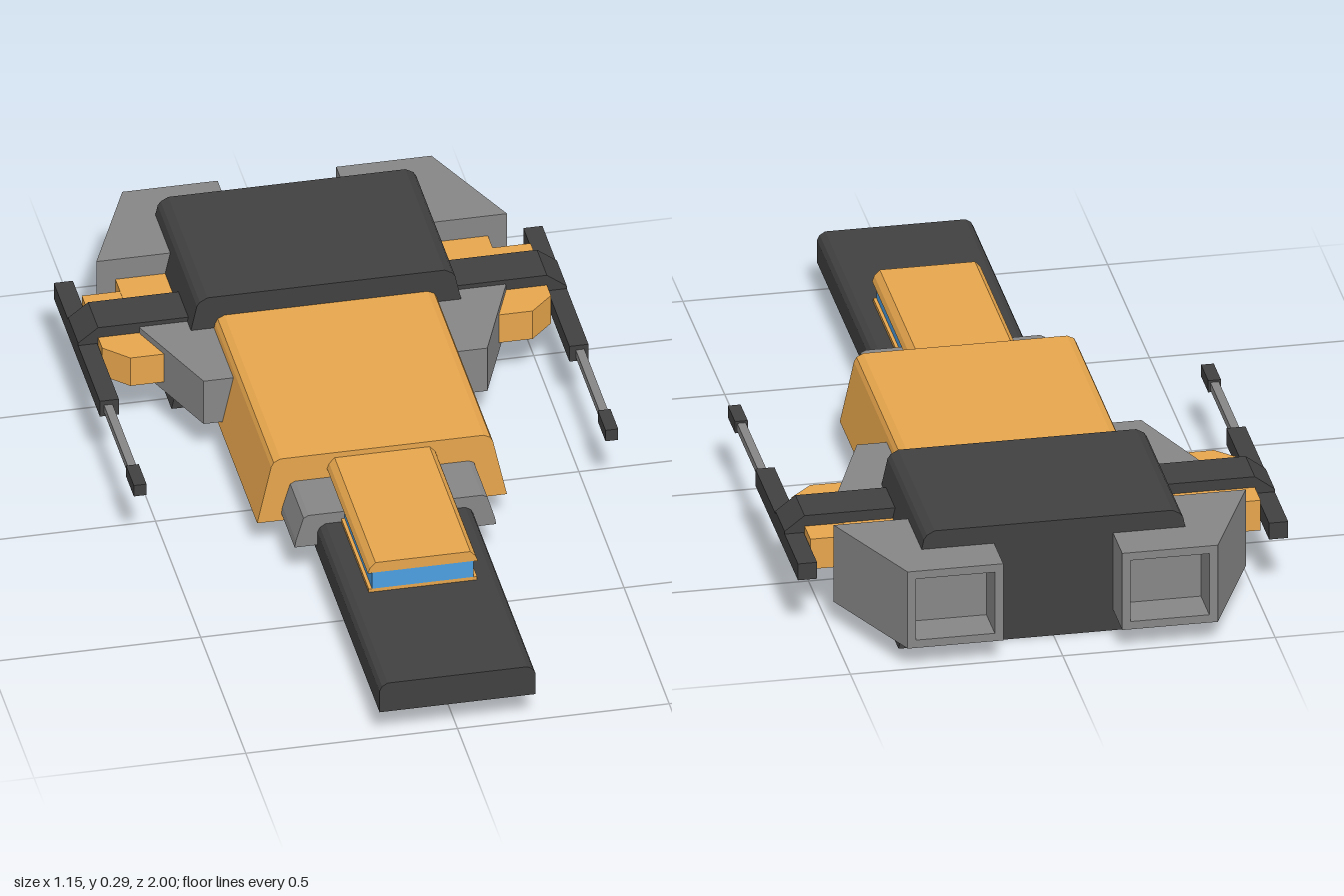
import * as THREE from 'three';

const material = (color) => new THREE.MeshStandardMaterial({ color, flatShading: true });

export function createModel() {
  const model = new THREE.Group();
  const dark = material(0x404040);
  const grey = material(0x868686);
  const orange = material(0xe6a54c);
  const blue = material(0x4c9ee0);

  function add(name, geometry, mat) {
    const mesh = new THREE.Mesh(geometry, mat);
    mesh.name = name;
    model.add(mesh);
    return mesh;
  }

  const shapeOf = (points) => new THREE.Shape(points.map(([x, y]) => new THREE.Vector2(x, y)));

  // Symmetric front profile (half given, bottom to top), extruded from z0 to z1
  function hull(name, half, z0, z1, mat) {
    const mirrored = half.map(([x, y]) => [-x, y]).reverse();
    const geometry = new THREE.ExtrudeGeometry(shapeOf([...half, ...mirrored]), { depth: z1 - z0, bevelEnabled: false });
    add(name, geometry.translate(0, 0, z0), mat);
  }

  // Plan outline in (x, z), extruded from y0 to y1 on side s
  function plan(name, outline, y0, y1, s, mat) {
    const geometry = new THREE.ExtrudeGeometry(shapeOf(outline.map(([x, z]) => [s * x, -z])), { depth: y1 - y0, bevelEnabled: false });
    add(name, geometry.rotateX(-Math.PI / 2).translate(0, y0, 0), mat);
  }

  function box(name, x0, x1, y0, y1, z0, z1, s, mat) {
    const geometry = new THREE.BoxGeometry(x1 - x0, y1 - y0, z1 - z0);
    geometry.translate(s * (x0 + x1) / 2, (y0 + y1) / 2, (z0 + z1) / 2);
    add(name, geometry, mat);
  }

  // Rectangular rings [x0, x1, y0, y1, z] joined in order, capped at both ends
  function rings(name, list, s, mat) {
    const corners = list.map(([x0, x1, y0, y1, z]) =>
      [[x0, y0, z], [x1, y0, z], [x1, y1, z], [x0, y1, z]].map(([x, y, w]) => [s * x, y, w]));
    const position = [];
    const quad = (a, b, c, d) => {
      const order = s > 0 ? [a, b, c, a, c, d] : [a, c, b, a, d, c];
      order.forEach((p) => position.push(...p));
    };
    const first = corners[0];
    const last = corners[corners.length - 1];
    quad(first[0], first[1], first[2], first[3]);
    quad(last[3], last[2], last[1], last[0]);
    for (let i = 0; i < corners.length - 1; i++) {
      for (let k = 0; k < 4; k++) {
        const n = (k + 1) % 4;
        quad(corners[i][k], corners[i + 1][k], corners[i + 1][n], corners[i][n]);
      }
    }
    const geometry = new THREE.BufferGeometry();
    geometry.setAttribute('position', new THREE.Float32BufferAttribute(position, 3));
    geometry.computeVertexNormals();
    add(name, geometry, mat);
  }

  // Central hull, from tail to nose
  hull('engineBlock', [[0.365, 0], [0.305, 0.275], [0.298, 0.285], [0.28, 0.295]], -0.89, -0.455, dark);
  hull('mainBody', [[0.295, 0.072], [0.262, 0.222], [0.256, 0.234], [0.24, 0.242]], -0.5, 0.165, orange);
  hull('neckCollar', [[0.238, 0.092], [0.235, 0.11], [0.217, 0.17], [0.205, 0.176]], 0.1, 0.313, grey);
  hull('nose', [[0.184, 0.07], [0.184, 0.128], [0.178, 0.14], [0.165, 0.148]], 0.1, 1, dark);

  // Cockpit: sill, glazing and roof
  hull('cockpitSill', [[0.128, 0.145], [0.128, 0.157]], 0.1, 0.617, orange);
  hull('cockpitWindow', [[0.12, 0.157], [0.12, 0.201]], 0.1, 0.617, blue);
  hull('cockpitRoof', [[0.13, 0.2], [0.125, 0.214], [0.112, 0.228]], 0.1, 0.617, orange);

  for (const s of [1, -1]) {
    // Tapered shoulder in front of the wing
    plan('shoulder', [[0.2, -0.24], [0.335, -0.24], [0.432, -0.49], [0.432, -0.51], [0.2, -0.51]], 0.092, 0.21, s, grey);

    // Hollow thruster, narrowing to the rear
    rings('thruster', [
      [0.14, 0.485, 0.053, 0.25, -0.725],
      [0.14, 0.365, 0.053, 0.25, -1],
      [0.16, 0.345, 0.073, 0.23, -1],
      [0.16, 0.345, 0.073, 0.23, -0.9],
    ], s, grey);

    // Stub wing: inner root, outer pod and top strut
    box('wingRoot', 0.25, 0.44, 0.115, 0.195, -0.725, -0.5, s, orange);
    plan('wingPod', [[0.39, -0.395], [0.475, -0.395], [0.53, -0.45], [0.53, -0.675], [0.39, -0.675]], 0.117, 0.194, s, orange);
    const strut = shapeOf([[0.28, 0.188], [0.53, 0.188], [0.53, 0.17], [0.577, 0.17], [0.577, 0.185], [0.53, 0.221], [0.28, 0.221]].map(([x, y]) => [s * x, y]));
    add('wingStrut', new THREE.ExtrudeGeometry(strut, { depth: 0.11, bevelEnabled: false }).translate(0, 0, -0.605), dark);

    // Wingtip gun: rail, barrel and muzzle
    box('gunRail', 0.532, 0.577, 0.136, 0.178, -0.765, -0.255, s, dark);
    box('gunBarrel', 0.547, 0.567, 0.146, 0.166, -0.27, 0.02, s, grey);
    box('gunMuzzle', 0.542, 0.572, 0.141, 0.171, 0.012, 0.098, s, dark);
  }
  return model;
}
